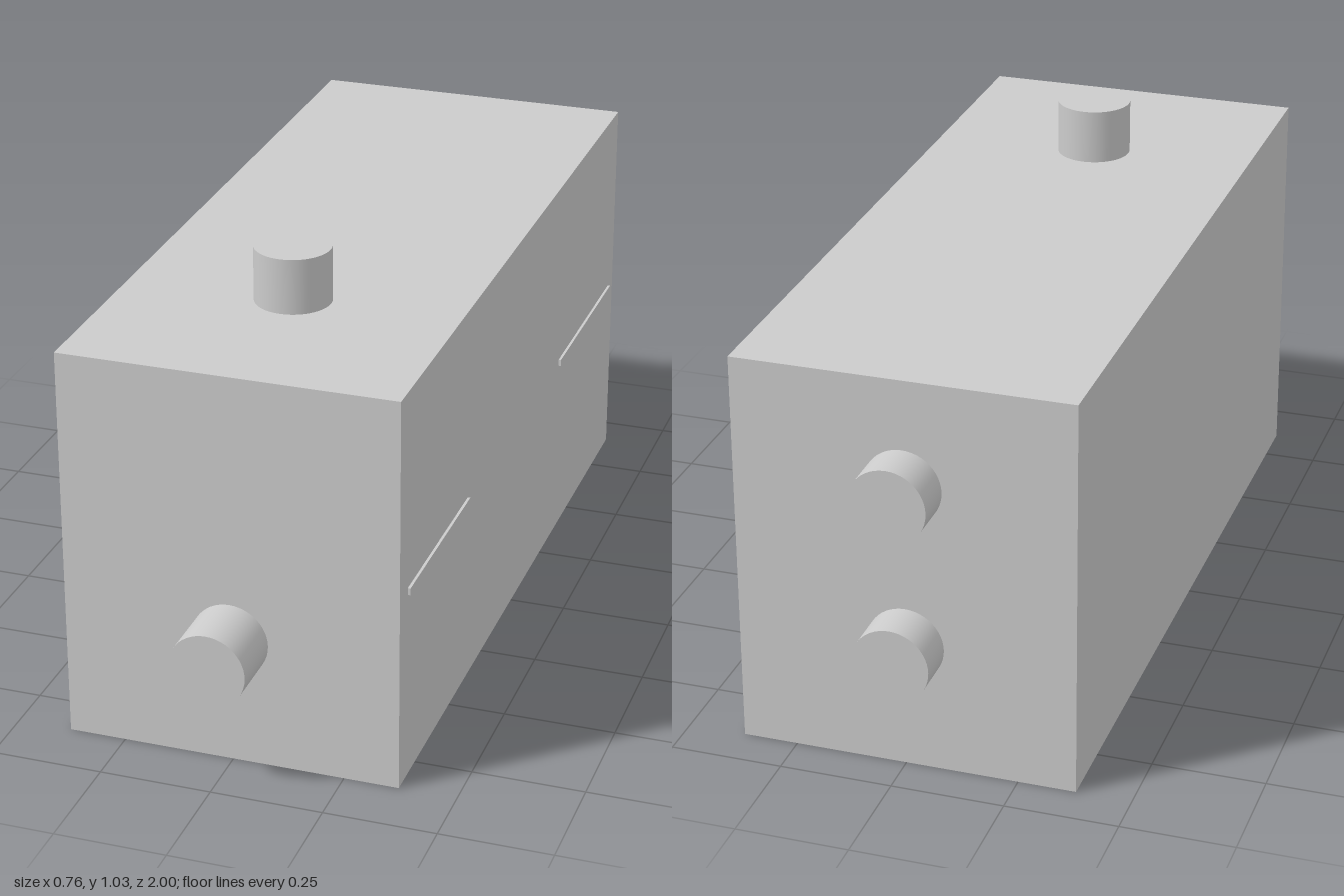
import * as THREE from 'three';

export function createModel() {
  const model = new THREE.Group();
  const material = new THREE.MeshStandardMaterial({ color: 0xcccccc });

  // Box from its minimum and maximum corners
  function box(name, [x0, y0, z0], [x1, y1, z1]) {
    const mesh = new THREE.Mesh(new THREE.BoxGeometry(x1 - x0, y1 - y0, z1 - z0), material);
    mesh.position.set((x0 + x1) / 2, (y0 + y1) / 2, (z0 + z1) / 2);
    mesh.name = name;
    model.add(mesh);
  }

  // Round port between two points, either upright or along z
  function port(name, start, end) {
    const a = new THREE.Vector3(...start);
    const b = new THREE.Vector3(...end);
    const mesh = new THREE.Mesh(new THREE.CylinderGeometry(0.085, 0.085, a.distanceTo(b), 48), material);
    mesh.position.copy(a).lerp(b, 0.5);
    mesh.quaternion.setFromUnitVectors(new THREE.Vector3(0, 1, 0), b.sub(a).normalize());
    mesh.name = name;
    model.add(mesh);
  }

  // Main housing
  box('body', [-0.378, 0, -0.903], [0.372, 0.902, 0.86]);

  // Thin rails on the left side
  box('rearRail', [0.37, 0.437, -0.86], [0.378, 0.453, -0.385]);
  box('frontRail', [0.37, 0.437, 0.375], [0.378, 0.453, 0.807]);

  // Ports on the top, front and back
  const x = -0.003;
  port('topPort', [x, 0.89, 0.443], [x, 1.027, 0.443]);
  port('frontPort', [x, 0.29, 0.85], [x, 0.29, 1]);
  port('lowerBackPort', [x, 0.29, -0.89], [x, 0.29, -1]);
  port('upperBackPort', [x, 0.66, -0.89], [x, 0.66, -1]);

  return model;
}
